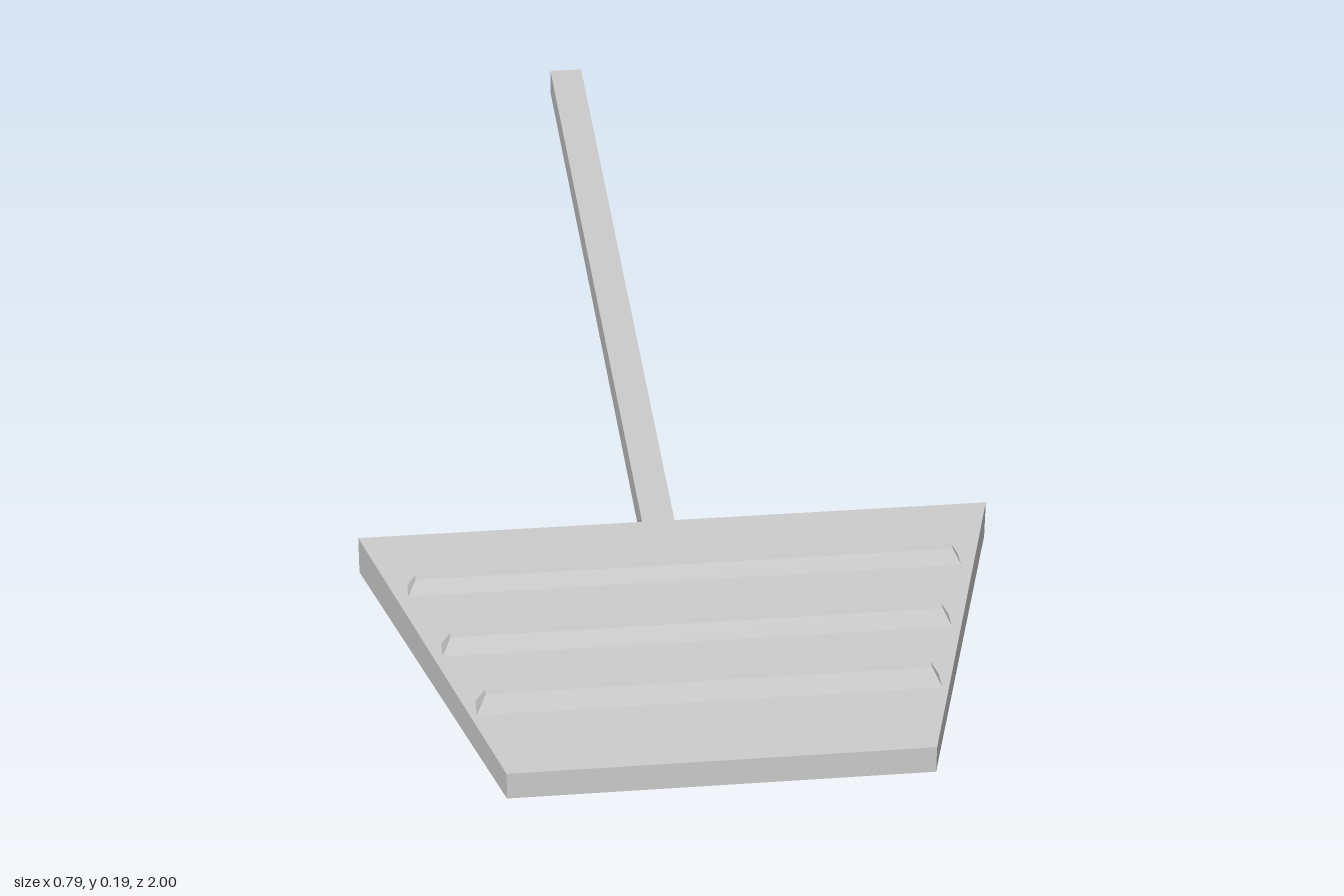
import * as THREE from 'three';

const material = new THREE.MeshStandardMaterial({ color: 0xcccccc, flatShading: true });

function addMesh(parent, name, geometry) {
  const mesh = new THREE.Mesh(geometry, material);
  mesh.name = name;
  parent.add(mesh);
  return mesh;
}

// Unit box whose corners are moved by a rule: fn(sx, sy, sz) -> [x, y, z], signs are -1 or 1
function shapedBox(fn) {
  const geometry = new THREE.BoxGeometry(2, 2, 2);
  const p = geometry.attributes.position;
  for (let i = 0; i < p.count; i++) {
    p.setXYZ(i, ...fn(Math.sign(p.getX(i)), Math.sign(p.getY(i)), Math.sign(p.getZ(i))));
  }
  geometry.computeVertexNormals();
  return geometry;
}

export function createModel() {
  const pedal = new THREE.Group();
  pedal.name = 'pedal';

  // Tread plate: tapers in width and thickness towards the front
  addMesh(pedal, 'treadPlate', shapedBox((sx, sy, sz) => sz > 0
    ? [sx * 0.25, sy > 0 ? 0.16 : 0.125, 1]
    : [sx * 0.395, sy > 0 ? 0.168 : 0.117, 0.5]));

  // Three grip ridges with sloping sides, shorter towards the front
  const ridges = [[0.621, 0.345], [0.749, 0.311], [0.87, 0.278]];
  ridges.forEach(([z, half], i) => {
    addMesh(pedal, `gripRidge${i + 1}`, shapedBox((sx, sy, sz) => sy > 0
      ? [sx * (half - 0.014), 0.185, z + sz * 0.005]
      : [sx * half, 0.157, z + sz * 0.016]));
  });

  // Arm and its two posts, drawn as one side profile (z, y) and given thickness along x
  const profile = new THREE.Shape([
    [-1, 0], [0.855, 0.02], [0.855, 0.13], [0.77, 0.13], [0.77, 0.06], [0.735, 0.058],
    [0.735, 0.13], [0.645, 0.13], [0.645, 0.056], [-1, 0.04],
  ].map(([z, y]) => new THREE.Vector2(z, y)));
  const arm = new THREE.ExtrudeGeometry(profile, { depth: 2, bevelEnabled: false });
  arm.translate(0, 0, -1).rotateY(-Math.PI / 2);
  // Slight narrowing towards the front
  const p = arm.attributes.position;
  for (let i = 0; i < p.count; i++) {
    const t = (p.getZ(i) + 1) / 1.855;
    p.setX(i, p.getX(i) * (0.024 - 0.004 * t));
  }
  arm.computeVertexNormals();
  addMesh(pedal, 'armWithPosts', arm);

  return pedal;
}
